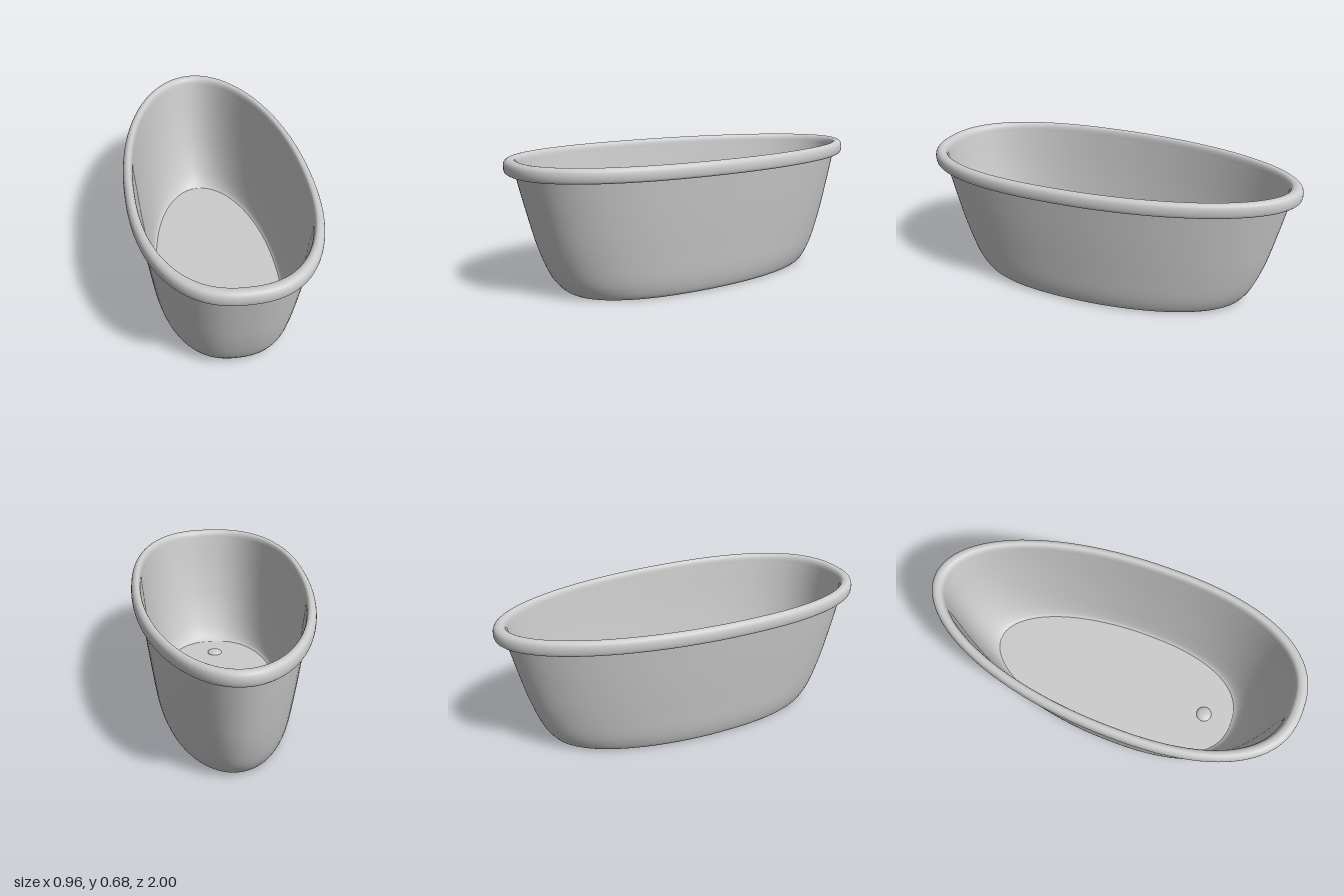
import * as THREE from 'three';

const SEGMENTS = 96;
const material = new THREE.MeshStandardMaterial({ color: 0xcccccc });

// Egg-shaped outline: elliptical at the back, blunter at the front.
// Each ring is [height, half width, half length].
function ringPoint([y, halfWidth, halfLength], j) {
  const a = (j / SEGMENTS) * Math.PI * 2;
  const c = Math.cos(a), s = Math.sin(a);
  const e = s > 0 ? 2 / 2.4 : 1;
  const centre = 0.08 + 0.06 * y;
  const reach = halfLength === 0 ? 0 : halfLength - Math.sign(s) * centre;
  return [
    halfWidth * Math.sign(c) * Math.abs(c) ** e,
    y,
    centre + reach * Math.sign(s) * Math.abs(s) ** e,
  ];
}

// Smooth surface lofted through a list of rings
function loft(name, rings) {
  const positions = [], index = [];
  rings.forEach((ring, i) => {
    for (let j = 0; j < SEGMENTS; j++) {
      positions.push(...ringPoint(ring, j));
      if (i === rings.length - 1) continue;
      const k = (j + 1) % SEGMENTS;
      const a = i * SEGMENTS + j, b = a + SEGMENTS;
      const c = i * SEGMENTS + k, d = c + SEGMENTS;
      index.push(a, b, c, b, d, c);
    }
  });
  const geometry = new THREE.BufferGeometry();
  geometry.setAttribute('position', new THREE.Float32BufferAttribute(positions, 3));
  geometry.setIndex(index);
  geometry.computeVertexNormals();
  const mesh = new THREE.Mesh(geometry, material);
  mesh.name = name;
  return mesh;
}

// Resample a ring profile along a smooth curve
function smoothProfile(rings, count) {
  const curve = new THREE.CatmullRomCurve3(
    rings.map((r) => new THREE.Vector3(...r)), false, 'centripetal');
  return curve.getPoints(count).map((p) => p.toArray());
}

export function createModel() {
  const tub = new THREE.Group();
  tub.name = 'bathtub';

  // Underside and flared outer wall
  tub.add(loft('underside', [[0, 0, 0], [0, 0.332, 0.715]]));
  const outer = [
    [0, 0.332, 0.715], [0.015, 0.344, 0.738], [0.08, 0.365, 0.787],
    [0.23, 0.388, 0.848], [0.42, 0.414, 0.9], [0.613, 0.437, 0.947],
  ];
  tub.add(loft('outerWall', smoothProfile(outer, 30)));

  // Rolled rim: flat lip underneath, rounded bead above
  tub.add(loft('rimUnderside', [[0.613, 0.43, 0.94], [0.612, 0.468, 0.988]]));
  const rim = [
    [0.612, 0.468, 0.988], [0.62, 0.475, 0.996], [0.645, 0.478, 1],
    [0.668, 0.473, 0.995], [0.68, 0.461, 0.982], [0.683, 0.449, 0.966],
    [0.678, 0.437, 0.947], [0.662, 0.43, 0.936], [0.635, 0.427, 0.93],
  ];
  tub.add(loft('rim', smoothProfile(rim, 24)));

  // Basin inside
  const inner = [
    [0.635, 0.427, 0.93], [0.42, 0.404, 0.888], [0.23, 0.378, 0.836],
    [0.09, 0.355, 0.775], [0.035, 0.341, 0.735], [0.02, 0.33, 0.715],
  ];
  tub.add(loft('innerWall', smoothProfile(inner, 30)));
  tub.add(loft('basinFloor', [[0.02, 0.33, 0.715], [0.02, 0, 0]]));

  // Domed drain plug
  const drain = new THREE.Mesh(
    new THREE.SphereGeometry(0.043, 32, 10, 0, Math.PI * 2, 0, Math.PI / 2), material);
  drain.name = 'drainPlug';
  drain.scale.y = 0.4;
  drain.position.set(-0.003, 0.02, 0.555);
  tub.add(drain);

  return tub;
}
